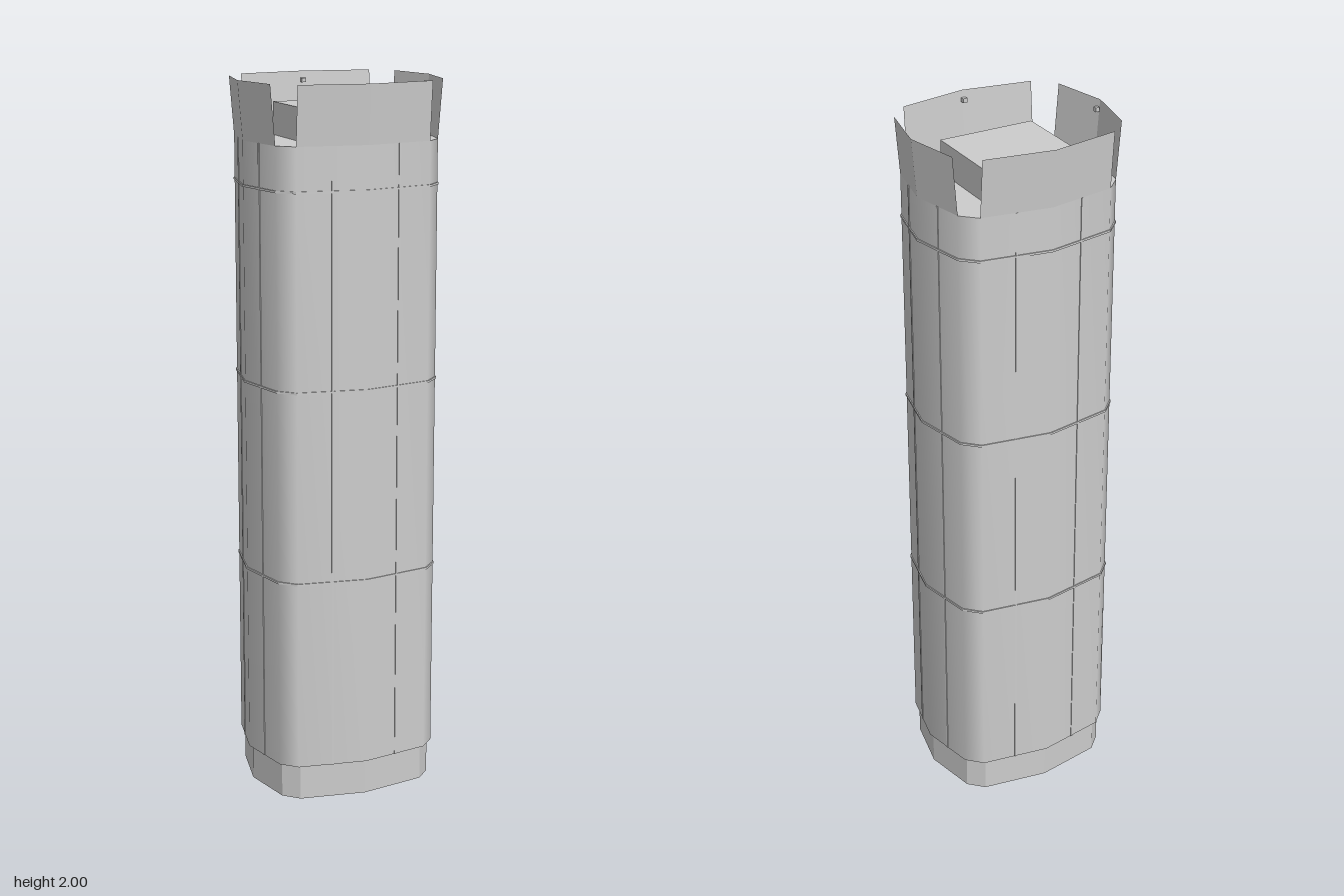
import * as THREE from 'three';
import { mergeVertices } from 'three/addons/utils/BufferGeometryUtils.js';

// Twelve-sided outline of the column as [x, z], running from +x towards +z
const OUTLINE = [
  [0.268, 0], [0.235, 0.157], [0.193, 0.198], [0, 0.231], [-0.193, 0.198], [-0.235, 0.157],
  [-0.268, 0], [-0.235, -0.157], [-0.193, -0.198], [0, -0.231], [0.193, -0.198], [0.235, -0.157],
];
const BODY_BOTTOM = 0.1, BODY_TOP = 1.84;

const scaled = (s) => OUTLINE.map(([x, z]) => [x * s, z * s]);
const grown = (d) => OUTLINE.map(([x, z]) => [x * (1 + d / 0.268), z * (1 + d / 0.231)]);

// Walls joining successive rings; each ring is { y, pts }
function loft(rings, closed, smooth = false) {
  const pos = [];
  for (let r = 0; r < rings.length - 1; r++) {
    const lo = rings[r], hi = rings[r + 1], n = lo.pts.length;
    for (let i = 0; i < (closed ? n : n - 1); i++) {
      const j = (i + 1) % n;
      const v = (ring, k) => [ring.pts[k][0], ring.y, ring.pts[k][1]];
      const a = v(lo, i), b = v(hi, i), c = v(hi, j), d = v(lo, j);
      pos.push(...a, ...b, ...c, ...a, ...c, ...d);
    }
  }
  let geo = new THREE.BufferGeometry();
  geo.setAttribute('position', new THREE.Float32BufferAttribute(pos, 3));
  if (smooth) geo = mergeVertices(geo);
  geo.computeVertexNormals();
  return geo;
}

// Flat lid in the shape of the outline
function lid(y, up) {
  const shape = new THREE.Shape(OUTLINE.map(([x, z]) => new THREE.Vector2(x, z)));
  return new THREE.ShapeGeometry(shape).rotateX(up ? -Math.PI / 2 : Math.PI / 2).translate(0, y, 0);
}

export function createModel() {
  const model = new THREE.Group();
  model.name = 'column';
  const grey = new THREE.MeshStandardMaterial({ color: 0xcccccc, side: THREE.DoubleSide });
  grey.name = 'light grey';
  const add = (name, geo, parent = model) => {
    const mesh = new THREE.Mesh(geo, grey);
    mesh.name = name;
    parent.add(mesh);
    return mesh;
  };

  // Open plinth ring, slightly inset
  const plinth = scaled(0.96);
  add('plinth', loft([{ y: 0, pts: plinth }, { y: BODY_BOTTOM, pts: plinth }], true));

  // Smooth shaft with flat lids
  add('shaft', loft([{ y: BODY_BOTTOM, pts: OUTLINE }, { y: BODY_TOP, pts: OUTLINE }], true, true));
  add('shaftTop', lid(BODY_TOP, true));
  add('shaftBottom', lid(BODY_BOTTOM, false));

  // Horizontal bands
  for (const y of [0.64, 1.18, 1.72]) {
    const inner = grown(-0.002), outer = grown(0.003), h = 0.003;
    add('band', loft([
      { y: y - h, pts: inner }, { y: y - h, pts: outer },
      { y: y + h, pts: outer }, { y: y + h, pts: inner },
    ], true));
  }

  // Vertical seams, two on each broad side
  for (const i of [0, 2, 3, 5, 6, 8, 9, 11]) {
    const [ax, az] = OUTLINE[i], [bx, bz] = OUTLINE[(i + 1) % 12];
    const seam = add('seam', new THREE.BoxGeometry(0.006, BODY_TOP - BODY_BOTTOM, 0.004));
    seam.position.set((ax + bx) / 2, (BODY_TOP + BODY_BOTTOM) / 2, (az + bz) / 2);
    seam.rotation.y = -Math.atan2(bz - az, bx - ax);
  }

  // Four flared flaps with open corners, each with a small stud inside
  const flare = 0.013;
  for (const [ids, dx, dz] of [
    [[11, 0, 1], 1, 0], [[2, 3, 4], 0, 1], [[5, 6, 7], -1, 0], [[8, 9, 10], 0, -1],
  ]) {
    const base = ids.map((i) => OUTLINE[i]);
    const rim = base.map(([x, z]) => [x + dx * flare, z + dz * flare]);
    add('flap', loft([{ y: BODY_TOP, pts: base }, { y: 2, pts: rim }], false));
    const [mx, mz] = base[1];
    add('stud', new THREE.BoxGeometry(0.012, 0.012, 0.012))
      .position.set(mx + dx * 0.002, 1.975, mz + dz * 0.002);
  }

  // Raised block on top, sheltered by the flaps
  add('topBlock', new THREE.BoxGeometry(0.274, 0.09, 0.228)).position.set(0, BODY_TOP + 0.045, 0);

  return model;
}
